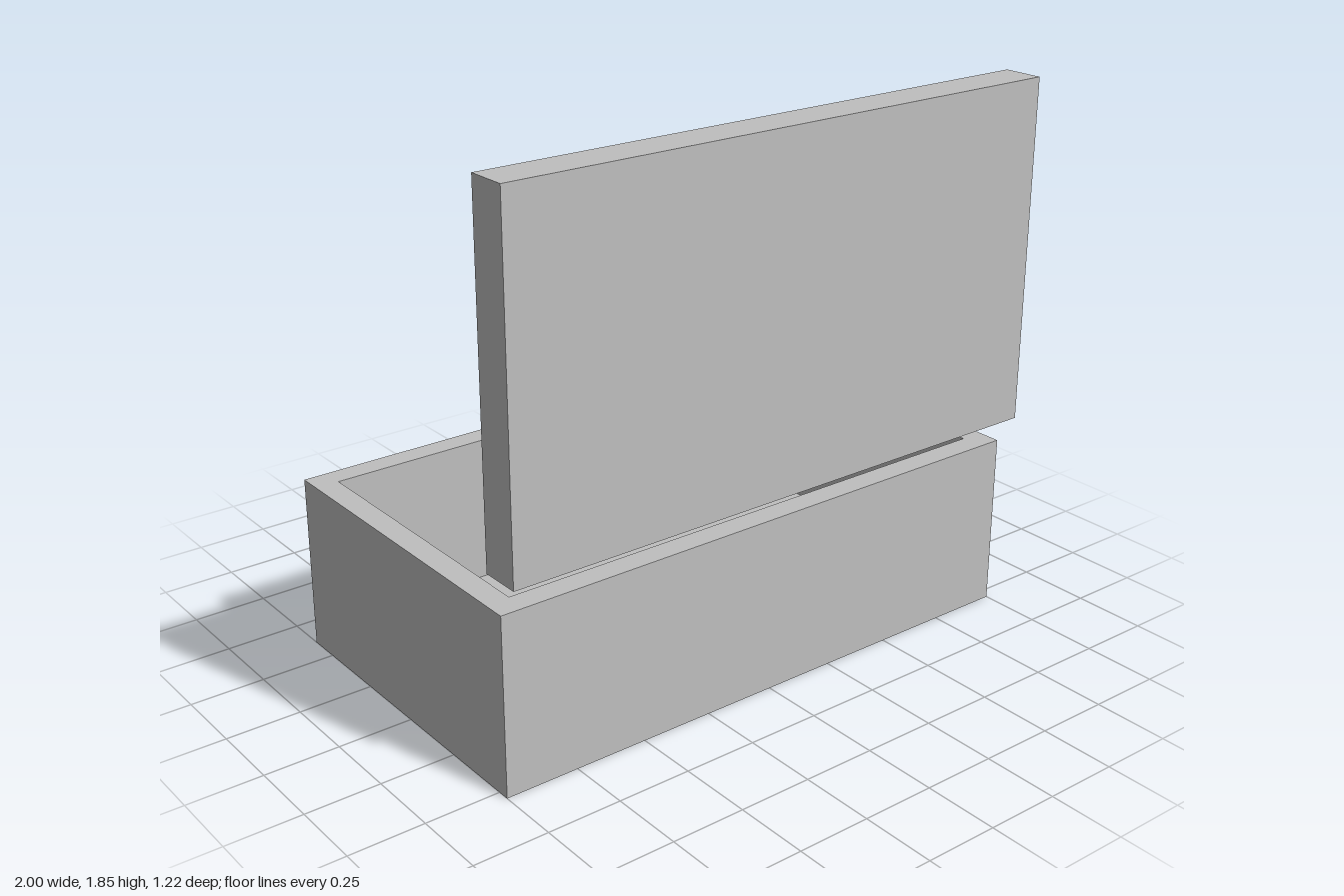
import * as THREE from 'three';

const HALF_X = 1, HALF_Z = 0.575; // half footprint of the box and half size of the lid
const HEIGHT = 0.595, WALL = 0.08, FLOOR = 0.085;

// Closed four-sided shell: the profile is swept round, then each ring is
// squared off to a rectangle inset evenly from the outer footprint.
function openBoxGeometry() {
  const inner = 1 - WALL;
  const profile = [[0, 0], [1, 0], [1, HEIGHT], [inner, HEIGHT], [inner, FLOOR], [0, FLOOR]]
    .map(([r, y]) => new THREE.Vector2(r, y));
  const swept = new THREE.LatheGeometry(profile, 4, Math.PI / 4);
  const pos = swept.attributes.position;
  for (let i = 0; i < pos.count; i++) {
    const r = Math.hypot(pos.getX(i), pos.getZ(i));
    if (r < 0.01) continue; // centre of the floor
    const inset = 1 - r;
    pos.setX(i, Math.sign(pos.getX(i)) * (HALF_X - inset));
    pos.setZ(i, Math.sign(pos.getZ(i)) * (HALF_Z - inset));
  }
  const geometry = swept.toNonIndexed();
  geometry.computeVertexNormals();
  return geometry;
}

export function createModel() {
  const group = new THREE.Group();
  group.name = 'boxWithLid';
  const grey = new THREE.MeshStandardMaterial({ color: 0xbfbfbf });
  grey.name = 'light grey';

  // Hollow box with an open top
  const box = new THREE.Mesh(openBoxGeometry(), grey);
  box.name = 'openBox';
  box.position.z = -0.035;

  // Lid standing upright, floating above the front wall
  const lid = new THREE.Mesh(new THREE.BoxGeometry(2 * HALF_X, 2 * HALF_Z, 0.135), grey);
  lid.name = 'lid';
  lid.position.set(0, 0.7 + HALF_Z, 0.5425);

  group.add(box, lid);
  return group;
}
